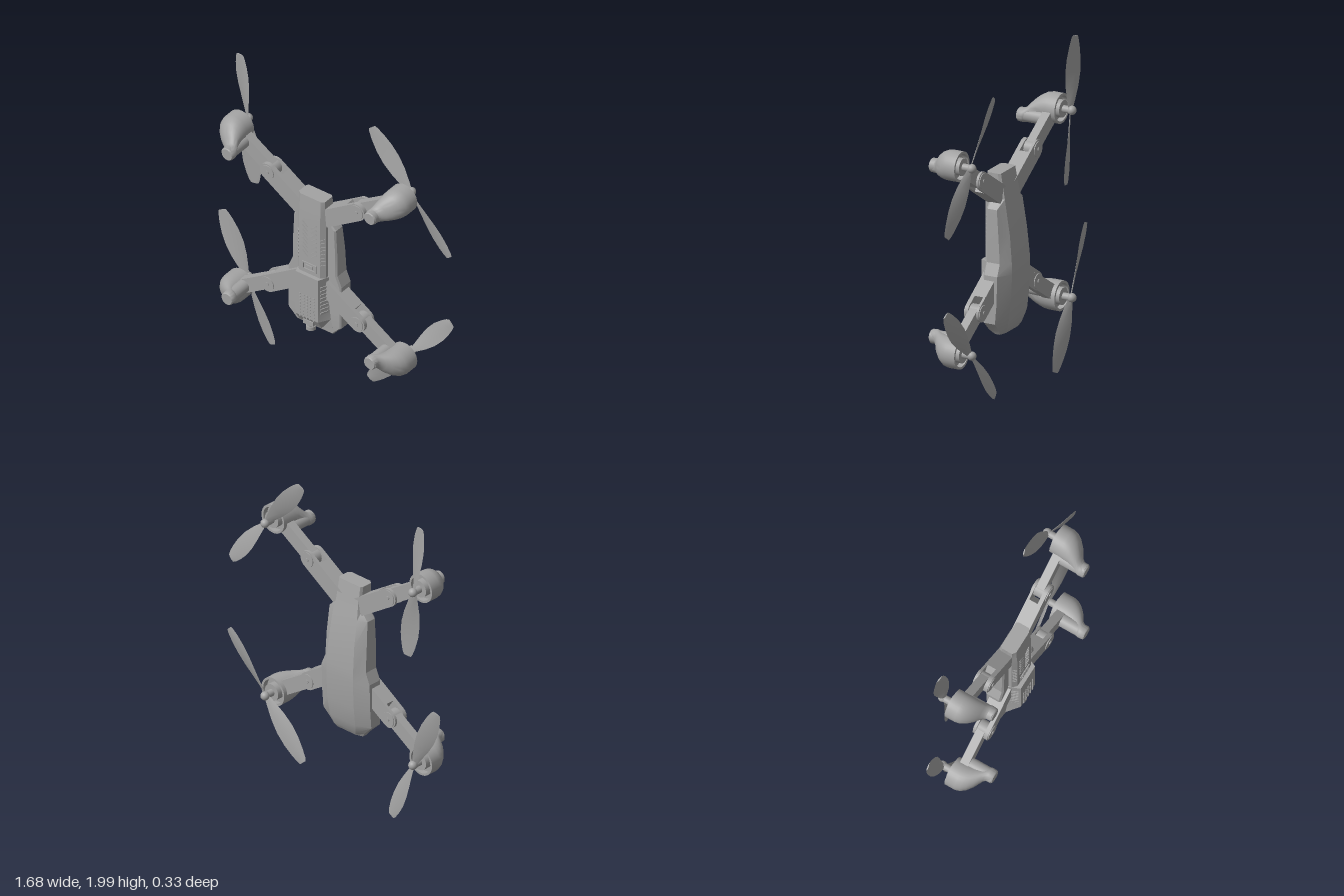
import * as THREE from 'three';
import { toCreasedNormals } from 'three/addons/utils/BufferGeometryUtils.js';

const grey = new THREE.MeshStandardMaterial({ color: 0xa3a3a3 });
grey.name = 'grey plastic';
const CX = -0.05, CY = 0.99; // centre of the airframe

function add(parent, name, geo, x = 0, y = 0, z = 0) {
  const m = new THREE.Mesh(geo, grey);
  m.name = name;
  m.position.set(x, y, z);
  parent.add(m);
  return m;
}

// Skin a list of equal-length rings (right-handed about the direction of travel), capped at both ends
function loft(rings, crease = 0.5) {
  const pos = [], n = rings[0].length;
  const tri = (...p) => p.forEach(v => pos.push(...v));
  const mid = r => [0, 1, 2].map(k => r.reduce((s, p) => s + p[k], 0) / n);
  const first = rings[0], last = rings[rings.length - 1], c0 = mid(first), c1 = mid(last);
  for (let i = 0; i < n; i++) {
    const j = (i + 1) % n;
    for (let s = 0; s < rings.length - 1; s++) {
      const a = rings[s], b = rings[s + 1];
      tri(a[i], a[j], b[j]);
      tri(a[i], b[j], b[i]);
    }
    tri(c0, first[j], first[i]);
    tri(c1, last[i], last[j]);
  }
  const g = new THREE.BufferGeometry();
  g.setAttribute('position', new THREE.Float32BufferAttribute(pos, 3));
  return toCreasedNormals(g, crease);
}

// Eight-sided body section: front face, side wall, back face
const section = ([y, fw, zf, w, z1, z2, bw, zb]) => [
  [-fw, y, zf], [fw, y, zf], [w, y, z1], [w, y, z2],
  [bw, y, zb], [-bw, y, zb], [-w, y, z2], [-w, y, z1]];

const zCylinder = (r, len, seg = 28) => new THREE.CylinderGeometry(r, r, len, seg).rotateX(Math.PI / 2);

function makeBody() {
  const g = new THREE.Group();
  g.name = 'body';
  g.position.x = CX;
  add(g, 'backShell', loft([
    [0.395, 0.11, -0.02, 0.115, -0.03, -0.06, 0.07, -0.075],
    [0.42, 0.125, 0.005, 0.13, -0.01, -0.065, 0.085, -0.09],
    [0.48, 0.18, 0.01, 0.19, 0, -0.07, 0.1, -0.11],
    [0.6, 0.18, 0.01, 0.19, 0, -0.08, 0.105, -0.127],
    [0.77, 0.18, 0.01, 0.19, 0, -0.085, 0.105, -0.135],
    [0.84, 0.15, 0.01, 0.16, 0, -0.085, 0.105, -0.133],
    [1.0, 0.15, 0.01, 0.158, 0, -0.075, 0.1, -0.118],
    [1.16, 0.14, 0.01, 0.15, 0, -0.06, 0.095, -0.09],
    [1.21, 0.095, 0.01, 0.1, 0, -0.055, 0.088, -0.078],
    [1.26, 0.09, 0.01, 0.093, 0, -0.05, 0.085, -0.068],
    [1.36, 0.09, 0.01, 0.093, 0, -0.035, 0.083, -0.05],
  ].map(section), 0.35));
  add(g, 'upperFrontBlock', loft([
    [0.8, 0.075, 0.055, 0.1, 0.03, -0.01, 0.09, -0.02],
    [1.2, 0.075, 0.055, 0.1, 0.03, -0.01, 0.09, -0.02],
    [1.28, 0.075, 0.05, 0.093, 0.03, -0.01, 0.09, -0.02],
    [1.36, 0.072, 0.045, 0.093, 0.03, -0.01, 0.09, -0.02],
  ].map(section), 0.3));
  add(g, 'batteryBlock', loft([
    [0.46, 0.08, 0.045, 0.135, 0.01, -0.01, 0.12, -0.02],
    [0.52, 0.08, 0.08, 0.12, 0.01, -0.01, 0.11, -0.02],
    [0.62, 0.08, 0.08, 0.11, 0.005, -0.01, 0.1, -0.02],
    [0.82, 0.08, 0.08, 0.11, 0.005, -0.01, 0.1, -0.02],
  ].map(section), 0.3));

  // Chevron grille, side vents and speaker dots
  for (const s of [-1, 1]) {
    for (let i = 0; i < 8; i++) {
      const slot = add(g, 'chevronSlot', new THREE.BoxGeometry(0.05, 0.01, 0.008), s * 0.032, 1.165 - i * 0.03, 0.055);
      slot.rotation.z = s * 0.75;
      const vent = add(g, 'upperVent', new THREE.BoxGeometry(0.026, 0.012, 0.008), s * 0.0875, 1.09 - i * 0.026, 0.0425);
      vent.rotation.y = s * Math.PI / 4;
      const low = add(g, 'lowerVent', new THREE.BoxGeometry(0.055, 0.012, 0.008), s * 0.096, 0.76 - i * 0.026, 0.042);
      low.rotation.y = s * 1.2;
    }
  }
  for (let i = 0; i < 5; i++)
    for (let j = 0; j < 8; j++)
      add(g, 'speakerDot', zCylinder(0.006, 0.006, 8), (i - 2) * 0.024, 0.52 + j * 0.022, 0.081);

  // Power button
  const frame = new THREE.Shape([[-0.05, -0.027], [0.05, -0.027], [0.05, 0.027], [-0.05, 0.027]].map(p => new THREE.Vector2(...p)));
  frame.holes.push(new THREE.Path([[-0.04, -0.018], [-0.04, 0.018], [0.04, 0.018], [0.04, -0.018]].map(p => new THREE.Vector2(...p))));
  add(g, 'buttonFrame', new THREE.ExtrudeGeometry(frame, { depth: 0.008, bevelEnabled: false }), 0, 0.87, 0.053);
  add(g, 'button', new THREE.BoxGeometry(0.05, 0.02, 0.012), 0, 0.87, 0.055);

  // Nose camera
  add(g, 'cameraMount', new THREE.BoxGeometry(0.07, 0.03, 0.05), 0, 0.478, 0.045);
  add(g, 'cameraNeck', new THREE.CylinderGeometry(0.02, 0.02, 0.05, 20), 0, 0.455, 0.045);
  add(g, 'cameraHead', new THREE.CylinderGeometry(0.03, 0.03, 0.025, 24), 0, 0.435, 0.04);
  return g;
}

// Beam in the xy plane between two points
function beam(parent, name, x0, y0, x1, y1, width, z0, z1) {
  const b = add(parent, name, new THREE.BoxGeometry(Math.hypot(x1 - x0, y1 - y0), width, z1 - z0),
    (x0 + x1) / 2, (y0 + y1) / 2, (z0 + z1) / 2);
  b.rotation.z = Math.atan2(y1 - y0, x1 - x0);
}

function makeArm(sx, sy) {
  const g = new THREE.Group();
  g.name = 'arm';
  g.position.set(CX, CY, 0);
  const P = (x, y) => [sx * x, sy * y];
  const root = P(0.075, 0.24), elbow = P(0.32, 0.4), fork = P(0.262, 0.362), end = P(0.53, 0.533);
  beam(g, 'innerArm', ...root, ...fork, 0.11, -0.065, 0.03);
  for (const [z0, z1] of [[-0.065, -0.05], [0.005, 0.03]]) {
    beam(g, 'forkPlate', ...fork, ...elbow, 0.11, z0, z1);
    add(g, 'forkEnd', zCylinder(0.055, z1 - z0), ...elbow, (z0 + z1) / 2);
  }
  add(g, 'elbowCap', zCylinder(0.046, 0.105), ...elbow, -0.0175);
  add(g, 'elbowScrew', zCylinder(0.012, 0.115, 12), ...elbow, -0.0175);
  beam(g, 'outerArm', ...elbow, ...end, 0.088, -0.05, 0.003);
  return g;
}

function makePod(sx, sy) {
  const g = new THREE.Group();
  g.name = 'motorPod';
  // z, radius, how far the ring has moved towards the foot
  const profile = [[-0.04, 0.076, 0], [-0.075, 0.076, 0], [-0.075, 0.09, 0], [-0.01, 0.09, 0], [0.02, 0.087, 0.06],
    [0.05, 0.078, 0.2], [0.08, 0.065, 0.45], [0.1, 0.053, 0.7], [0.115, 0.046, 0.9], [0.13, 0.043, 1], [0.158, 0.041, 1], [0.165, 0.036, 1]];
  add(g, 'podShell', loft(profile.map(([z, r, t]) => Array.from({ length: 32 }, (_, i) => {
    const a = i / 32 * Math.PI * 2;
    return [-sx * 0.075 * t + r * Math.cos(a), -sy * 0.05 * t + r * Math.sin(a), z];
  })), 0.7));
  add(g, 'landingFoot', zCylinder(0.041, 0.17), -sx * 0.073, -sy * 0.048, 0.073);
  add(g, 'motor', zCylinder(0.052, 0.05), 0, 0, -0.06);
  add(g, 'shaft', zCylinder(0.022, 0.07, 20), 0, 0, -0.105);
  add(g, 'spinner', new THREE.SphereGeometry(0.027, 20, 14), 0, 0, -0.14);
  return g;
}

// Twisted two-blade propeller lying along x
function makePropeller(hand) {
  const g = new THREE.Group();
  g.name = 'propeller';
  const stations = [[0.01, 0.03, 0.5], [0.06, 0.055, 0.5], [0.14, 0.092, 0.42], [0.22, 0.115, 0.34],
    [0.3, 0.115, 0.26], [0.37, 0.095, 0.2], [0.42, 0.07, 0.16], [0.44, 0.05, 0.14]];
  const foil = [[-0.5, 0], [-0.2, -0.003], [0.2, -0.003], [0.5, 0], [0.2, 0.004], [-0.2, 0.004]];
  const geo = loft(stations.map(([r, w, tw]) => foil.map(([c, h]) => {
    const a = hand * tw;
    return [r, c * w * Math.cos(a) - h * Math.sin(a), c * w * Math.sin(a) + h * Math.cos(a)];
  })), 0.8);
  for (const turn of [0, Math.PI]) add(g, 'blade', geo).rotation.z = turn;
  return g;
}

export function createModel() {
  const model = new THREE.Group();
  model.name = 'foldingQuadcopter';
  model.add(makeBody());
  // Corner signs and resting direction of each propeller
  for (const [sx, sy, px, py] of [[-1, 1, -10, 83], [1, 1, -52, 64], [-1, -1, -34, 76], [1, -1, 55, 62]]) {
    model.add(makeArm(sx, sy));
    const pod = makePod(sx, sy);
    pod.position.set(CX + sx * 0.585, CY + sy * 0.568, 0);
    const prop = makePropeller(sx * sy);
    prop.position.z = -0.131;
    prop.rotation.z = Math.atan2(py, px);
    pod.add(prop);
    model.add(pod);
  }
  return model;
}
